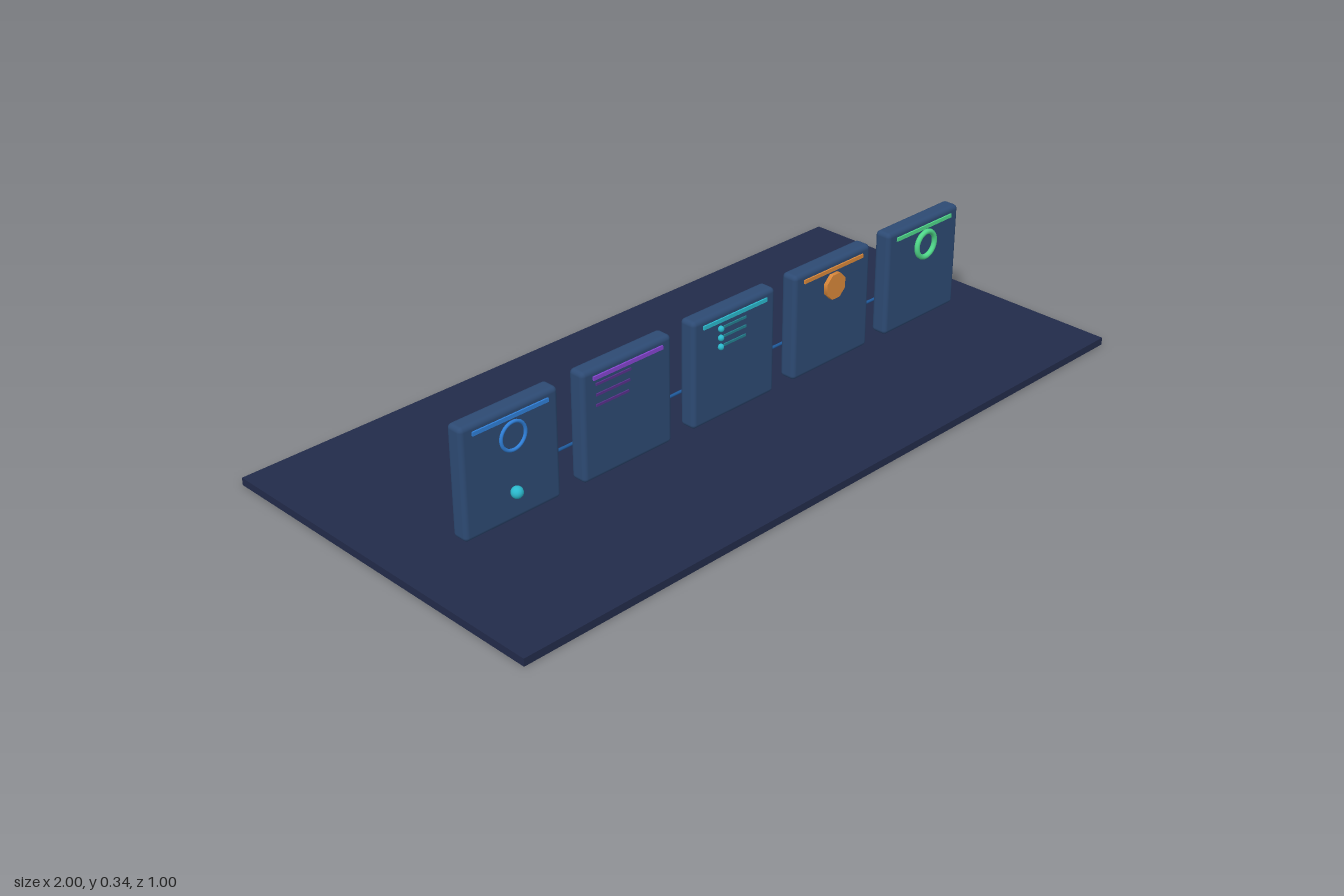
import * as THREE from 'three';
import { RoundedBoxGeometry } from 'three/addons/geometries/RoundedBoxGeometry.js';

const material = (name, color) => {
  const m = new THREE.MeshStandardMaterial({ color });
  m.name = name;
  return m;
};

export function createModel() {
  const mats = {
    navy: material('navy', 0x222b4a),
    slate: material('slate blue', 0x2d4a73),
    blue: material('blue', 0x2f7fd8),
    purple: material('purple', 0x8544d0),
    dimPurple: material('dim purple', 0x57308a),
    cyan: material('cyan', 0x2ab8cc),
    dimCyan: material('dim cyan', 0x23808f),
    orange: material('orange', 0xd8873a),
    green: material('green', 0x4fd88a),
    cable: material('cable blue', 0x1f5a9c),
  };
  const model = new THREE.Group();
  model.name = 'panelDisplay';

  const add = (parent, name, geometry, mat, x, y, z) => {
    const mesh = new THREE.Mesh(geometry, mat);
    mesh.name = name;
    mesh.position.set(x, y, z);
    parent.add(mesh);
    return mesh;
  };

  // Floor plate
  add(model, 'base', new THREE.BoxGeometry(2, 0.02, 1), mats.navy, 0, 0.01, 0);

  // Five upright cards, each with a header bar; local origin at the card's front centre
  const accents = [mats.blue, mats.purple, mats.cyan, mats.orange, mats.green];
  const cardGeometry = new RoundedBoxGeometry(0.28, 0.287, 0.047, 3, 0.012);
  const barGeometry = new THREE.BoxGeometry(0.216, 0.01, 0.006);
  const cards = accents.map((accent, i) => {
    const card = new THREE.Group();
    card.name = 'card' + (i + 1);
    card.position.set(-0.7 + i * 0.35, 0.192, 0.125);
    add(card, 'cardBody', cardGeometry, mats.slate, 0, 0, -0.0235);
    add(card, 'headerBar', barGeometry, accent, 0, 0.122, 0.001);
    model.add(card);
    return card;
  });
  const iconY = 0.077;

  // Card 1: thin ring and a round button
  add(cards[0], 'ringIcon', new THREE.TorusGeometry(0.035, 0.0042, 10, 40), mats.blue, 0, iconY, 0.008);
  add(cards[0], 'button', new THREE.SphereGeometry(0.015, 20, 14), mats.cyan, 0, -0.065, 0.012);

  // Card 2: text lines
  [0.108, 0.105, 0.1].forEach((width, i) => {
    add(cards[1], 'textLine', new THREE.BoxGeometry(width, 0.006, 0.004), mats.dimPurple,
      -0.1 + width / 2, 0.104 - i * 0.027, 0.001);
  });

  // Card 3: bulleted list
  for (let i = 0; i < 3; i++) {
    const y = 0.101 - i * 0.024;
    add(cards[2], 'bullet', new THREE.SphereGeometry(0.008, 12, 8), mats.cyan, -0.052, y, 0.004);
    add(cards[2], 'listLine', new THREE.BoxGeometry(0.075, 0.006, 0.004), mats.dimCyan, -0.002, y, 0.001);
  }

  // Card 4: faceted disc
  const disc = new THREE.CylinderGeometry(0.036, 0.036, 0.012, 8);
  disc.rotateY(Math.PI / 8);
  disc.rotateX(Math.PI / 2);
  add(cards[3], 'discIcon', disc, mats.orange, 0, iconY, 0.005);

  // Card 5: thick ring
  add(cards[4], 'thickRingIcon', new THREE.TorusGeometry(0.035, 0.007, 12, 40), mats.green, 0, iconY, 0.009);

  // Cable running behind the cards
  const cable = new THREE.CylinderGeometry(0.004, 0.004, 1.4, 10);
  cable.rotateZ(Math.PI / 2);
  add(model, 'cable', cable, mats.cable, 0, 0.128, 0.066);

  return model;
}
